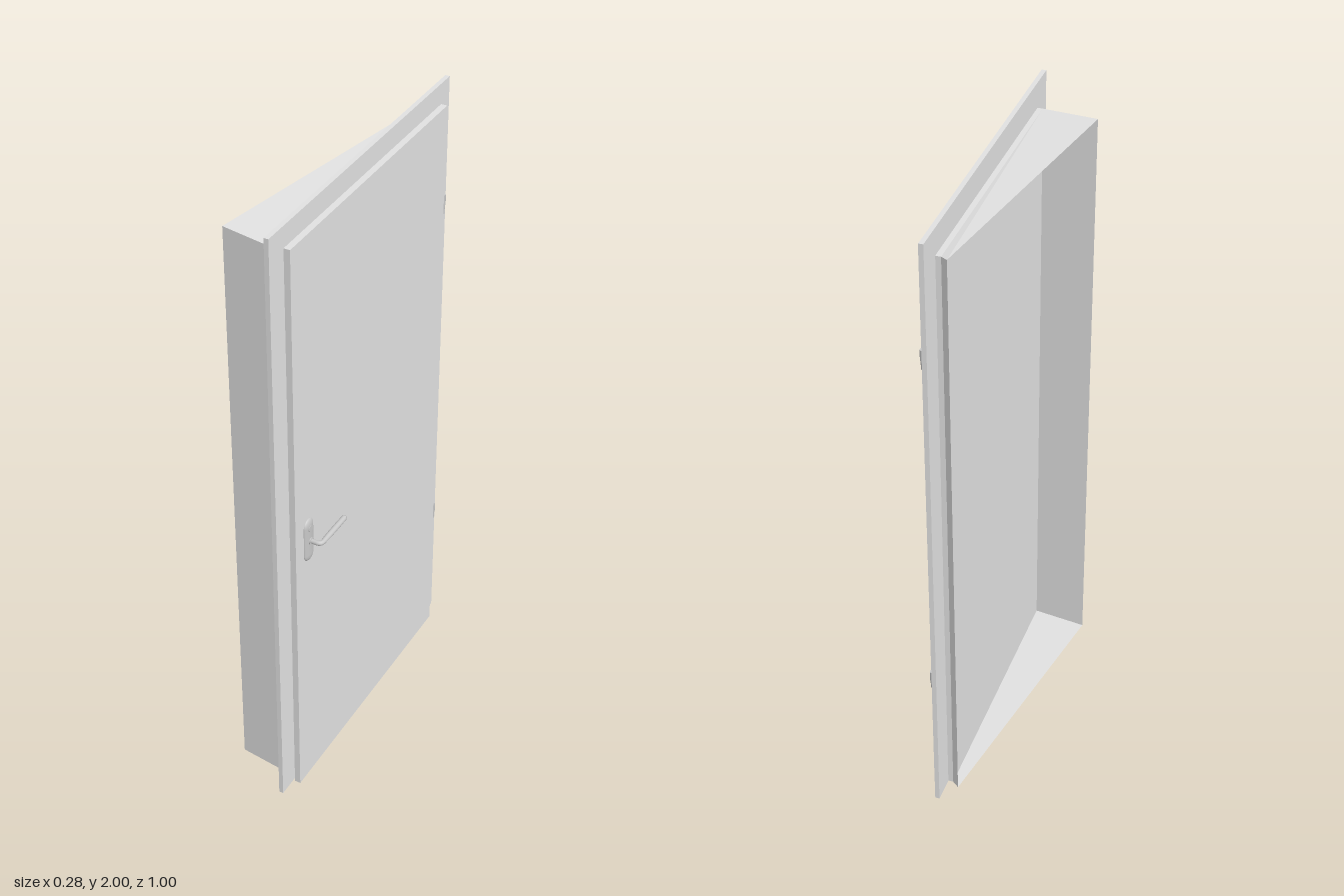
import * as THREE from 'three';

export function createModel() {
  const door = new THREE.Group();
  door.name = 'door';

  const paint = new THREE.MeshStandardMaterial({ color: 0xe1e1e1, side: THREE.DoubleSide });
  paint.name = 'light grey paint';
  const metal = new THREE.MeshStandardMaterial({ color: 0xc8c8c8 });
  metal.name = 'handle metal';

  const add = (name, geometry, material, x = 0, y = 0, z = 0, parent = door) => {
    const mesh = new THREE.Mesh(geometry, material);
    mesh.name = name;
    mesh.position.set(x, y, z);
    parent.add(mesh);
    return mesh;
  };

  // Architrave: an upside-down U around the opening, drawn in (z, y) and extruded along x
  const u = [[-0.5, 0], [-0.42, 0], [-0.42, 1.92], [0.42, 1.92], [0.42, 0], [0.5, 0], [0.5, 2], [-0.5, 2]];
  const outline = new THREE.Shape(u.map(([z, y]) => new THREE.Vector2(z, y)));
  const frame = new THREE.ExtrudeGeometry(outline, { depth: 0.014, bevelEnabled: false });
  add('frame', frame.rotateY(Math.PI / 2), paint, 0.048);

  // Rebated door leaf: a wide front panel and a narrower core set into the opening
  add('leafFront', new THREE.BoxGeometry(0.019, 1.942, 0.876), paint, 0.0775, 0.971, 0);
  add('leafCore', new THREE.BoxGeometry(0.036, 1.92, 0.84), paint, 0.05, 0.96, 0);

  // Wedge-shaped wall lining, lofted from the leaf core to the open back
  // Each ring: x, z and top height on the latch side, then on the hinge side
  const rings = [
    [0.032, 0.42, 1.92, 0.032, -0.42, 1.92],
    [-0.138, 0.4, 1.926, 0.01, -0.437, 1.925],
  ];
  const corners = rings.flatMap(([xa, za, ya, xb, zb, yb]) =>
    [xa, 0, za, xa, ya, za, xb, yb, zb, xb, 0, zb]);
  const faces = [];
  for (let a = 0; a < 4; a++) {
    const b = (a + 1) % 4;
    faces.push(a, b, b + 4, a, b + 4, a + 4);
  }
  const ringLoft = new THREE.BufferGeometry();
  ringLoft.setAttribute('position', new THREE.Float32BufferAttribute(corners, 3));
  ringLoft.setIndex(faces);
  const lining = ringLoft.toNonIndexed();
  lining.computeVertexNormals();
  add('wallLining', lining, paint);

  // Hinges: a thick knuckle above a slimmer pin
  for (const y of [0.455, 1.613]) {
    const hinge = new THREE.Group();
    hinge.name = 'hinge';
    hinge.position.set(0.078, y, -0.451);
    add('hingeKnuckle', new THREE.CylinderGeometry(0.008, 0.008, 0.034, 12), metal, 0, 0.015, 0, hinge);
    add('hingePin', new THREE.CylinderGeometry(0.007, 0.005, 0.03, 12), metal, 0, -0.017, 0, hinge);
    door.add(hinge);
  }

  // Handle, with its origin on the leaf face at the spindle
  const handle = new THREE.Group();
  handle.name = 'handle';
  handle.position.set(0.087, 0.937, 0.368);
  door.add(handle);

  // Domed backplate
  const plate = new THREE.CapsuleGeometry(0.025, 0.1, 10, 28).scale(0.36, 1, 1);
  add('backplate', plate, metal, 0, 0.002, 0, handle);

  // Lock cylinder and spindle collar
  const disc = (name, radius, height, x, y) =>
    add(name, new THREE.CylinderGeometry(radius, radius, height, 20).rotateZ(-Math.PI / 2), metal, x, y, 0, handle);
  disc('lockCylinder', 0.011, 0.006, 0.007, 0.045);
  disc('spindleCollar', 0.011, 0.006, 0.009, 0);

  // Neck bending into the lever
  const v = (x, z) => new THREE.Vector3(x, 0, z);
  const path = new THREE.CurvePath();
  path.add(new THREE.LineCurve3(v(0.005, 0), v(0.028, 0)));
  path.add(new THREE.QuadraticBezierCurve3(v(0.028, 0), v(0.0415, 0), v(0.0415, -0.015)));
  add('neck', new THREE.TubeGeometry(path, 16, 0.0075, 12), metal, 0, 0, 0, handle);

  // Grip, widening slightly towards its closed end
  const profile = [[0.0075, 0], [0.0088, 0.03], [0.009, 0.075], [0.0085, 0.122], [0.007, 0.125], [0, 0.125]];
  const grip = new THREE.LatheGeometry(profile.map(([r, h]) => new THREE.Vector2(r, h)), 16);
  add('grip', grip.rotateX(-Math.PI / 2), metal, 0.0415, 0, -0.014, handle);

  return door;
}
